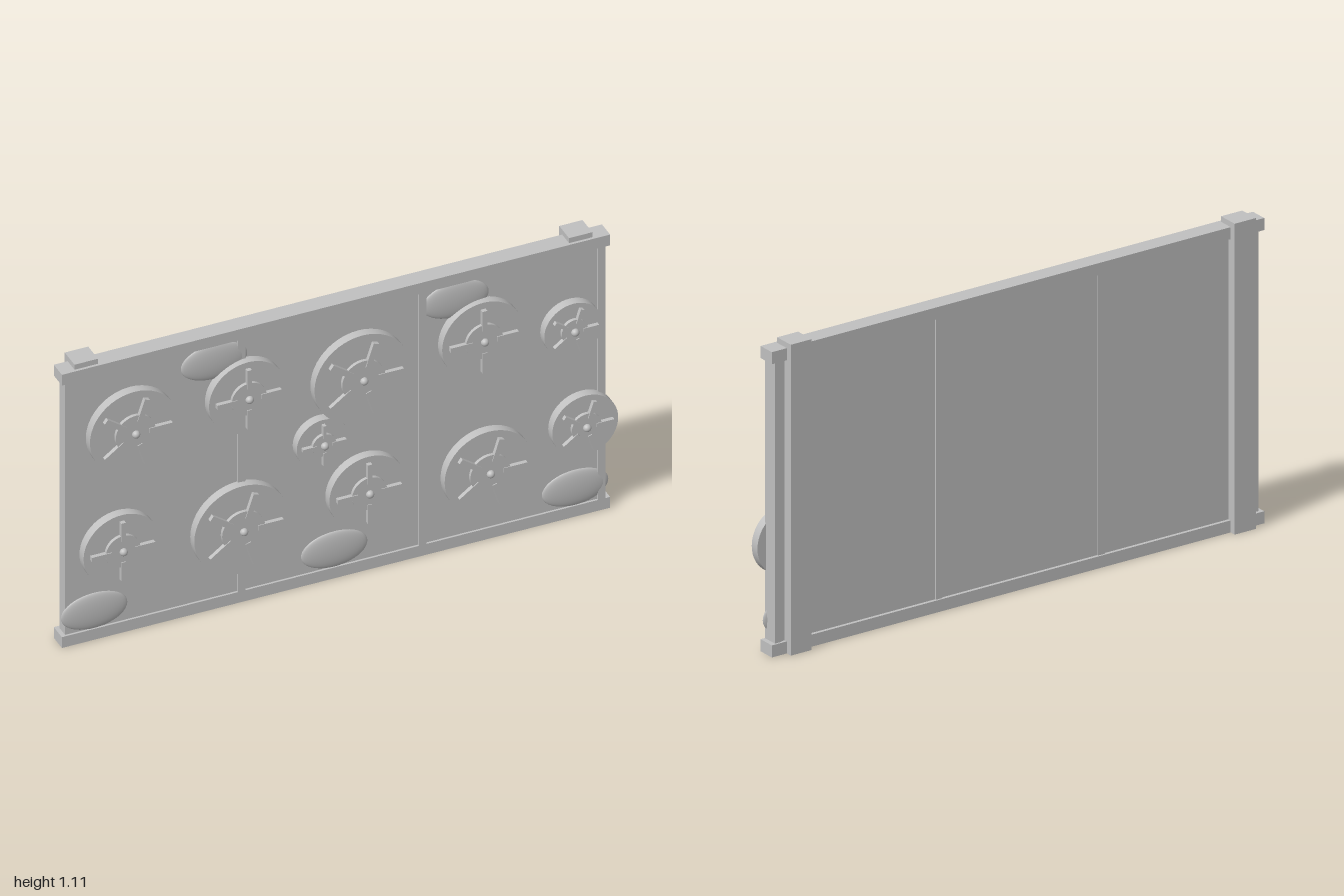
import * as THREE from 'three';

export function createModel() {
  const model = new THREE.Group();
  const grey = new THREE.MeshStandardMaterial({ color: 0xc0c0c0 });
  grey.name = 'plain grey';

  const add = (parent, name, geometry, x = 0, y = 0, z = 0) => {
    const mesh = new THREE.Mesh(geometry, grey);
    mesh.name = name;
    mesh.position.set(x, y, z);
    parent.add(mesh);
    return mesh;
  };
  // Box given by its limits on each axis
  const box = (name, x0, x1, y0, y1, z0, z1) =>
    add(model, name, new THREE.BoxGeometry(x1 - x0, y1 - y0, z1 - z0),
      (x0 + x1) / 2, (y0 + y1) / 2, (z0 + z1) / 2);
  // Short cylinder facing +z
  const disc = (r, z0, z1) =>
    new THREE.CylinderGeometry(r, r, z1 - z0, 48).rotateX(Math.PI / 2).translate(0, 0, (z0 + z1) / 2);

  // Board, rails and back posts
  box('panel', -0.985, 0.94, 0.035, 1.055, -0.035, 0.01);
  box('bottomRail', -1, 0.98, 0, 0.043, -0.047, 0.018);
  box('topRail', -1, 0.98, 1.047, 1.09, -0.047, 0.018);
  box('rightPost', -0.95, -0.865, 0, 1.11, -0.07, 0.008);
  box('leftPost', 0.836, 0.92, 0, 1.11, -0.07, 0.008);

  // Upright battens: two dividers and the end stile
  for (const x of [-0.364, 0.289, 0.936]) {
    box('batten', x, x + 0.027, 0.04, 1.05, -0.04, 0.018);
  }

  // Wheels: x, y, radius, spokes
  const wheels = [
    [-0.75, 0.807, 0.16, 5], [-0.34, 0.829, 0.14, 4], [0.074, 0.786, 0.173, 5],
    [0.51, 0.818, 0.148, 4], [0.836, 0.765, 0.105, 5], [-0.068, 0.567, 0.095, 4],
    [-0.795, 0.35, 0.138, 4], [-0.36, 0.307, 0.173, 5], [0.095, 0.329, 0.14, 4],
    [0.531, 0.286, 0.16, 5], [0.879, 0.372, 0.119, 5],
  ];
  for (const [x, y, r, spokes] of wheels) {
    const wheel = new THREE.Group();
    wheel.name = 'wheel';
    wheel.position.set(x, y, 0);
    add(wheel, 'wheelDisc', disc(r, 0.01, 0.043));
    add(wheel, 'hub', disc(r * 0.45, 0.043, 0.055));
    add(wheel, 'hubPin', new THREE.SphereGeometry(0.014, 20, 14), 0, 0, 0.058);
    for (let i = 0; i < spokes; i++) {
      const bar = new THREE.BoxGeometry(r * 0.53, r * 0.12, 0.016).translate(r * 0.565, 0, 0.05);
      add(wheel, 'spoke', bar).rotation.z = (i / spokes) * Math.PI * 2;
    }
    model.add(wheel);
  }

  // Flattened oval bosses
  for (const [x, y] of [[-0.447, 0.984], [0.425, 0.984], [-0.88, 0.112], [-0.013, 0.112], [0.857, 0.112]]) {
    add(model, 'ovalBoss', new THREE.SphereGeometry(1, 32, 20), x, y, 0.01).scale.set(0.12, 0.07, 0.014);
  }
  return model;
}
